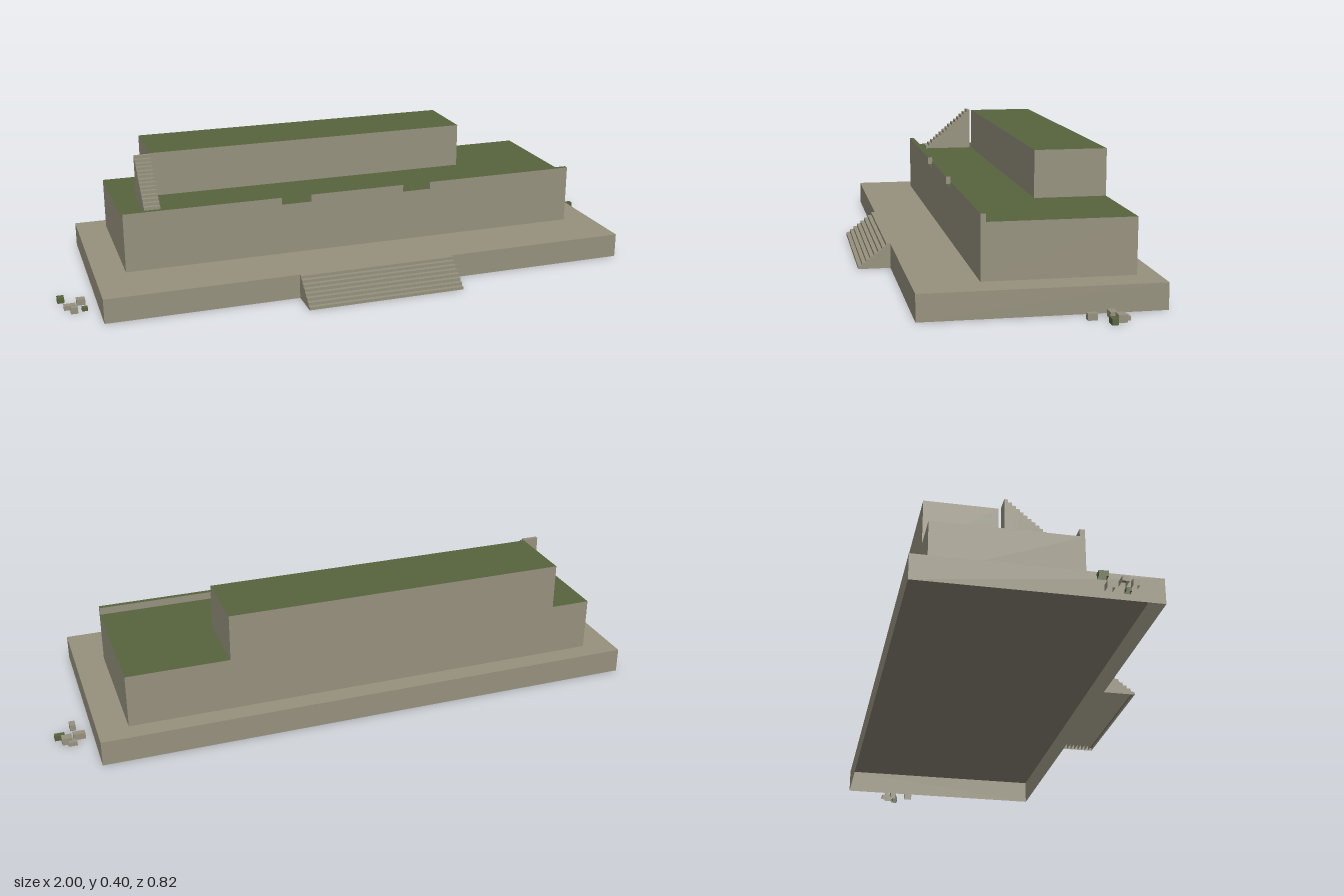
import * as THREE from 'three';

const stone = new THREE.MeshStandardMaterial({ color: 0x98937f, side: THREE.DoubleSide });
stone.name = 'stone';
const moss = new THREE.MeshStandardMaterial({ color: 0x58653e, side: THREE.DoubleSide });
moss.name = 'moss green';

// Open-bottomed block between two corners: four walls plus a top that may differ in colour
function block(name, [x0, x1], [y0, y1], [z0, z1], top = stone, wall = stone) {
  const g = new THREE.Group();
  g.name = name;
  const box = new THREE.BoxGeometry(x1 - x0, y1 - y0, z1 - z0);
  const index = Array.from(box.index.array);
  box.setIndex([...index.slice(0, 12), ...index.slice(24)]); // keep only the side faces
  box.clearGroups();
  const walls = new THREE.Mesh(box, wall);
  walls.name = name + 'Walls';
  const lid = new THREE.Mesh(new THREE.PlaneGeometry(x1 - x0, z1 - z0).rotateX(-Math.PI / 2), top);
  lid.name = name + 'Top';
  lid.position.y = (y1 - y0) / 2;
  g.add(walls, lid);
  g.position.set((x0 + x1) / 2, (y0 + y1) / 2, (z0 + z1) / 2);
  return g;
}

// Flight of solid steps climbing from zFront back to zBack
function stairs(name, xs, [y0, y1], zFront, zBack, count) {
  const g = new THREE.Group();
  g.name = name;
  const run = (zFront - zBack) / count, rise = (y1 - y0) / count;
  for (let i = 0; i < count; i++) {
    const z = zFront - i * run;
    g.add(block('step', xs, [y0, y0 + (i + 1) * rise], [z - run, z]));
  }
  return g;
}

export function createModel() {
  const model = new THREE.Group();
  model.name = 'terracedTemple';

  // Terraces
  model.add(block('platform', [-0.88, 0.882], [0, 0.08], [-0.409, 0.308]));
  model.add(block('mainTerrace', [-0.78, 0.786], [0.08, 0.251], [-0.345, 0.112], moss));
  model.add(block('upperTerrace', [-0.648, 0.46], [0.251, 0.4], [-0.345, -0.116], moss));

  // Front parapet, broken by two gaps
  for (const xs of [[-0.78, -0.26], [-0.16, 0.165], [0.263, 0.786]]) {
    model.add(block('parapet', xs, [0.251, 0.275], [0.096, 0.112], moss));
  }

  // Stairs
  model.add(stairs('frontStairs', [-0.26, 0.262], [0, 0.08], 0.412, 0.308, 8));
  model.add(stairs('roofStairs', [-0.703, -0.65], [0.251, 0.4], 0.065, -0.11, 15));

  // Loose rubble: x, z, width, depth, height, material
  const rubble = [
    [0.925, -0.231, 0.037, 0.02, 0.02, stone],
    [0.95, -0.262, 0.027, 0.02, 0.012, stone],
    [0.965, -0.246, 0.032, 0.026, 0.022, stone],
    [0.984, -0.218, 0.032, 0.018, 0.017, moss],
    [0.938, -0.17, 0.018, 0.028, 0.02, stone],
    [-0.989, 0.095, 0.022, 0.027, 0.017, moss],
    [-0.967, 0.16, 0.037, 0.02, 0.015, stone],
    [-0.957, 0.195, 0.022, 0.018, 0.02, stone],
    [-0.93, 0.132, 0.027, 0.022, 0.02, stone],
    [-0.924, 0.185, 0.018, 0.016, 0.012, moss],
  ];
  for (const [x, z, w, d, h, m] of rubble) {
    model.add(block('rubble', [x - w / 2, x + w / 2], [0, h], [z - d / 2, z + d / 2], m, m));
  }
  return model;
}
